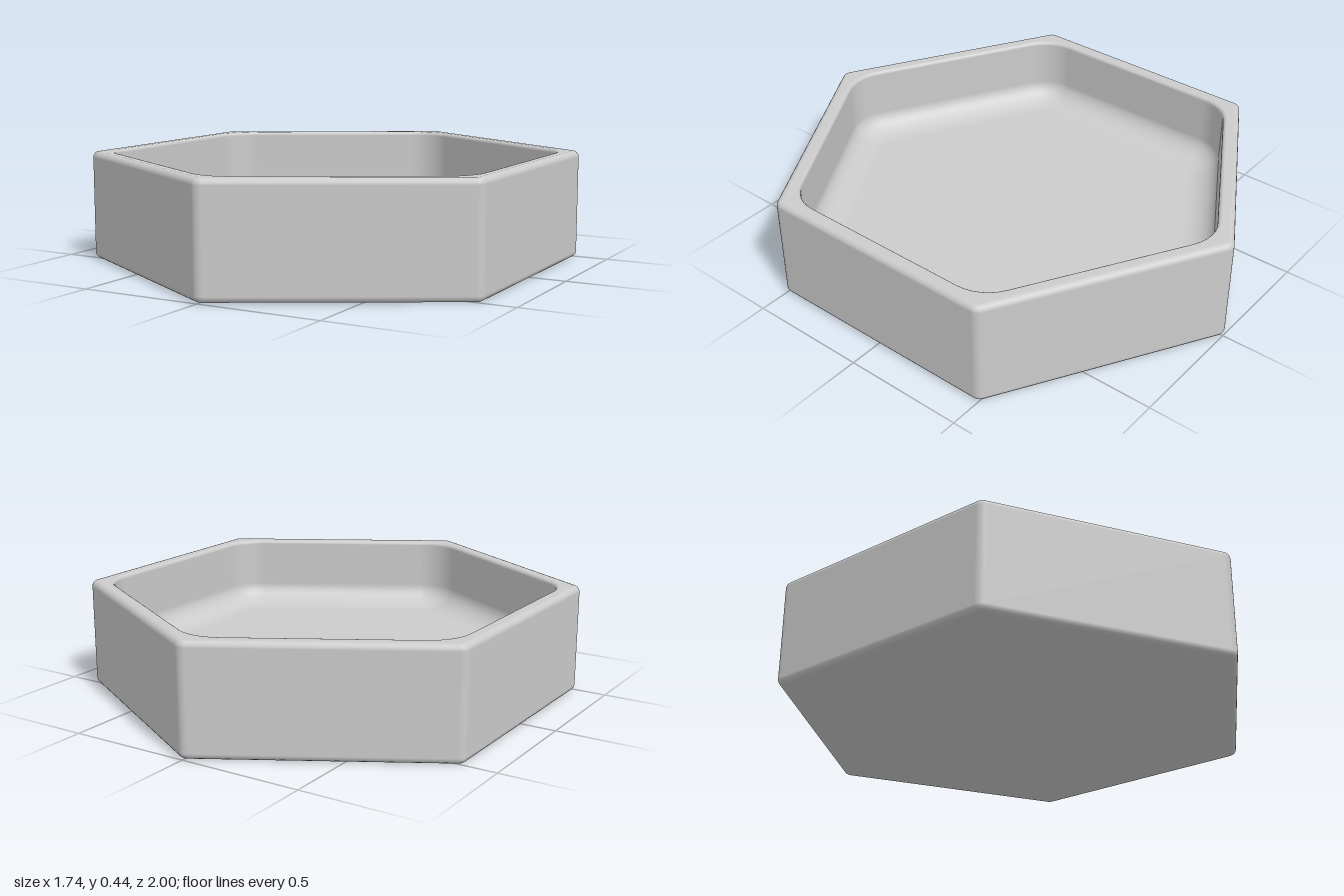
import * as THREE from 'three';

const HEIGHT = 0.445;
const FLOOR = 0.15;
const CORNER_STEPS = 6;

// Points of an elliptical rounded edge in the (distance from axis, height) plane.
// facing = 1 for a convex edge, -1 for a hollow fillet.
function edge(d, y, rd, ry, fromDeg, toDeg, steps, cornerInset, facing = 1) {
  return Array.from({ length: steps + 1 }, (_, i) => {
    const t = THREE.MathUtils.degToRad(fromDeg + ((toDeg - fromDeg) * i) / steps);
    const c = Math.cos(t), s = Math.sin(t);
    const dist = d + rd * c;
    const n = new THREE.Vector2(c / rd, s / ry).normalize().multiplyScalar(facing);
    return { d: dist, r: dist - cornerInset, y: y + ry * s, nd: n.x, ny: n.y };
  });
}

// Skins a profile around a hexagon; each ring has flats at distance d and corners of radius r.
function roundedHexLoft(profile) {
  const positions = [], normals = [], indices = [];
  const count = 6 * (CORNER_STEPS + 1);
  for (const { d, r, y, nd, ny } of profile) {
    for (let k = 0; k < 6; k++) {
      const corner = Math.PI / 6 + (k * Math.PI) / 3;
      const reach = (d - r) / Math.cos(Math.PI / 6);
      for (let i = 0; i <= CORNER_STEPS; i++) {
        const a = corner + (i / CORNER_STEPS - 0.5) * (Math.PI / 3);
        positions.push(reach * Math.cos(corner) + r * Math.cos(a), y, reach * Math.sin(corner) + r * Math.sin(a));
        normals.push(nd * Math.cos(a), ny, nd * Math.sin(a));
      }
    }
  }
  for (let p = 0; p < profile.length - 1; p++) {
    for (let j = 0; j < count; j++) {
      const a = p * count + j, b = p * count + ((j + 1) % count);
      indices.push(a, a + count, b, b, a + count, b + count);
    }
  }
  const geometry = new THREE.BufferGeometry();
  geometry.setAttribute('position', new THREE.Float32BufferAttribute(positions, 3));
  geometry.setAttribute('normal', new THREE.Float32BufferAttribute(normals, 3));
  geometry.setIndex(indices);
  return geometry;
}

export function createModel() {
  const group = new THREE.Group();
  group.name = 'hexagonalTray';

  const outer = 0.871, bevel = 0.025, outerInset = 0.831;
  const lip = 0.82, lipRound = 0.015, innerInset = 0.63;
  const wall = lip - lipRound, filletWidth = 0.125, filletHeight = 0.09;

  const profile = [
    // underside and outer wall
    { d: 0, r: 0, y: 0, nd: 0, ny: -1 },
    ...edge(outer - bevel, bevel, bevel, bevel, -90, 0, 4, outerInset),
    ...edge(outer - bevel, HEIGHT - bevel, bevel, bevel, 0, 90, 4, outerInset),
    // rim and inner wall
    ...edge(lip, HEIGHT - lipRound, lipRound, lipRound, 90, 180, 4, innerInset),
    // curved transition to the floor
    ...edge(wall - filletWidth, FLOOR + filletHeight, filletWidth, filletHeight, 0, -90, 10, innerInset, -1),
    { d: 0, r: 0, y: FLOOR, nd: 0, ny: 1 },
  ];

  const tray = new THREE.Mesh(
    roundedHexLoft(profile),
    new THREE.MeshStandardMaterial({ color: 0xcccccc }),
  );
  tray.name = 'tray';
  group.add(tray);
  return group;
}
